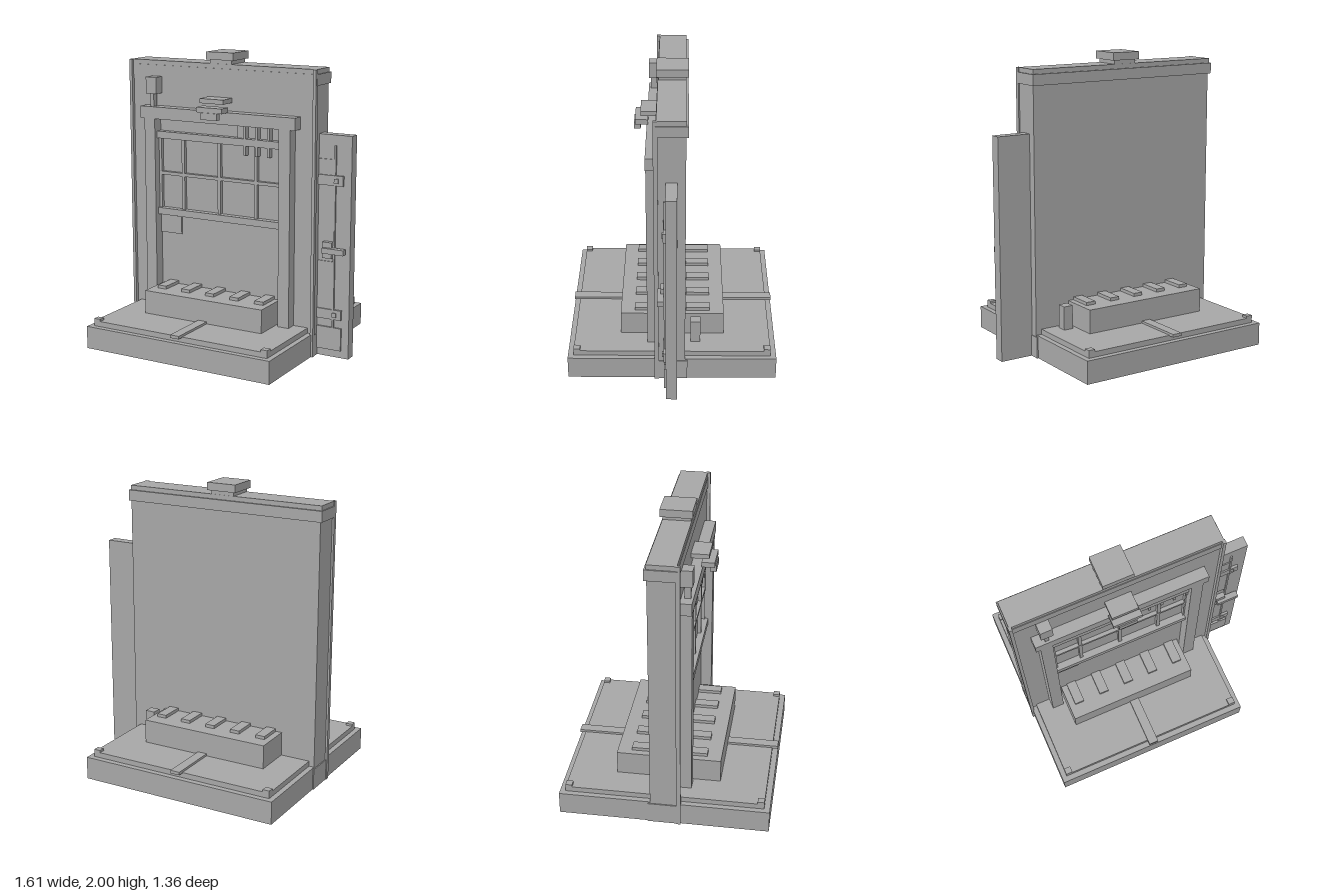
import * as THREE from 'three';

export function createModel() {
  const model = new THREE.Group();
  const stone = new THREE.MeshStandardMaterial({ color: 0xa6a6a6 });
  stone.name = 'plain grey';

  // Box given by its extents on each axis
  const box = (name, x0, x1, y0, y1, z0, z1) => {
    const mesh = new THREE.Mesh(new THREE.BoxGeometry(x1 - x0, y1 - y0, z1 - z0), stone);
    mesh.position.set((x0 + x1) / 2, (y0 + y1) / 2, (z0 + z1) / 2);
    mesh.name = name;
    model.add(mesh);
    return mesh;
  };

  // Base with raised floor, corner studs and centre strips
  box('base', -0.79, 0.57, 0.07, 0.22, -0.68, 0.68);
  box('floor', -0.755, 0.535, 0.22, 0.255, -0.643, 0.643);
  for (const x of [-0.755, 0.49])
    for (const z of [-0.643, 0.6]) box('cornerStud', x, x + 0.045, 0.255, 0.27, z, z + 0.043);
  box('frontStrip', -0.14, -0.075, 0.25, 0.27, 0.33, 0.68);
  box('backStrip', -0.14, -0.075, 0.25, 0.27, -0.68, -0.33);
  box('drainPost', 0.36, 0.425, 0, 0.41, -0.185, -0.12);

  // Wall, plinth, edge trims and coping
  box('wall', -0.79, 0.575, 0.2, 1.83, -0.085, 0.09);
  box('plinth', -0.797, 0.58, 0.07, 0.21, -0.1, 0.093);
  box('coping', -0.805, 0.585, 1.825, 1.895, -0.1, 0.097);
  box('copingTop', -0.797, 0.577, 1.895, 1.925, -0.087, 0.093);
  for (const x of [-0.803, 0.562]) box('edgeTrim', x, x + 0.021, 0.07, 1.925, 0.085, 0.113);

  // Roof cap
  box('capNeck', -0.19, -0.03, 1.92, 1.955, -0.085, 0.09);
  box('cap', -0.21, -0.01, 1.95, 2.0, -0.102, 0.102);

  // Frame around the window opening
  box('lintel', -0.685, 0.467, 1.545, 1.625, 0.085, 0.165);
  for (const x of [-0.655, 0.353]) box('framePost', x, x + 0.08, 0.255, 1.545, 0.085, 0.163);

  // Window rails and glazing bars
  box('topRail', -0.575, 0.353, 1.413, 1.46, 0.085, 0.135);
  box('bottomRail', -0.575, 0.353, 0.895, 0.94, 0.085, 0.135);
  box('middleBar', -0.575, 0.353, 1.165, 1.187, 0.085, 0.115);
  for (const x of [-0.578, -0.398, -0.122, 0.15, 0.343])
    box('glazingBar', x, x + 0.022, 0.94, 1.413, 0.085, 0.113);

  // Hanging tools behind the top rail
  box('toolBlock', 0.028, 0.08, 1.46, 1.545, 0.085, 0.115);
  for (let i = 0; i < 4; i++) {
    const x = 0.079 + i * 0.086;
    box('hangingTool', x, x + 0.018, 1.35, 1.545, 0.085, 0.128);
  }
  box('noticePlate', -0.575, -0.413, 0.765, 0.885, 0.085, 0.099);

  // Stepped bracket over the lintel
  box('bracketTop', -0.2, -0.025, 1.68, 1.71, 0.085, 0.205);
  box('bracketShelf', -0.205, -0.015, 1.625, 1.658, 0.157, 0.24);
  box('bracketDrop', -0.17, -0.05, 1.58, 1.625, 0.205, 0.247);

  // Lamp
  box('lampStem', -0.615, -0.588, 1.62, 1.71, 0.11, 0.15);
  box('lampHead', -0.64, -0.56, 1.71, 1.82, 0.085, 0.163);

  // Benches with studs on both sides of the wall
  for (const side of [1, -1]) {
    const span = (a, b) => (side > 0 ? [a, b] : [-b, -a]);
    box('bench', -0.555, 0.33, 0.25, 0.412, ...span(0.08, 0.34));
    for (let i = 0; i < 5; i++) {
      const x = -0.48 + i * 0.185;
      box('benchStud', x - 0.033, x + 0.033, 0.412, 0.433, ...span(0.09, 0.247));
    }
  }

  // Side door with panels, straps and latch
  box('door', 0.575, 0.8, 0.07, 1.52, -0.033, 0.037);
  box('doorBar', 0.685, 0.697, 0.27, 1.455, 0.035, 0.05);
  box('upperPanel', 0.58, 0.685, 0.905, 1.365, 0.035, 0.044);
  box('lowerPanel', 0.58, 0.685, 0.315, 0.705, 0.035, 0.044);
  box('kickPlate', 0.58, 0.75, 0.12, 0.27, 0.035, 0.05);
  for (const y of [0.325, 1.2]) {
    box('strap', 0.578, 0.75, y, y + 0.065, 0.035, 0.053);
    box('strapBolt', 0.69, 0.718, y + 0.017, y + 0.046, 0.05, 0.062);
  }
  box('latchPlate', 0.62, 0.685, 0.73, 0.835, 0.035, 0.07);
  box('latchHandle', 0.625, 0.775, 0.765, 0.8, 0.05, 0.09);

  return model;
}
